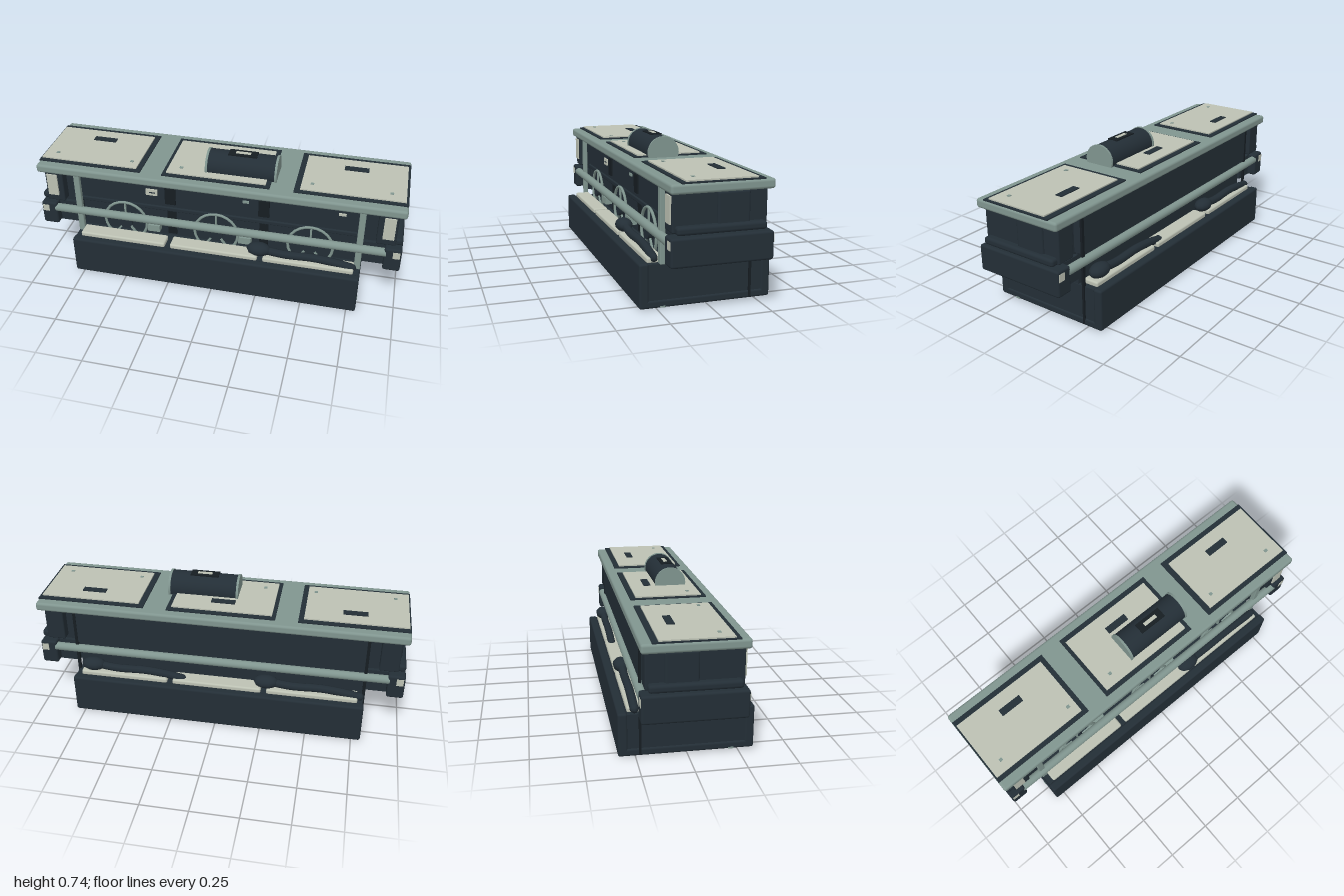
import * as THREE from 'three';
import { RoundedBoxGeometry } from 'three/addons/geometries/RoundedBoxGeometry.js';

export function createModel() {
  const root = new THREE.Group();
  root.name = 'equipmentConsole';
  const mat = (name, color) => {
    const m = new THREE.MeshStandardMaterial({ color });
    m.name = name;
    return m;
  };
  const dark = mat('dark slate', 0x232e36);
  const black = mat('near black', 0x161d22);
  const green = mat('grey green', 0x80958f);
  const cream = mat('pale cream', 0xbcc1b3);

  const add = (name, geo, m, x = 0, y = 0, z = 0) => {
    const mesh = new THREE.Mesh(geo, m);
    mesh.name = name;
    mesh.position.set(x, y, z);
    root.add(mesh);
    return mesh;
  };
  // Boxes are given by their limits; r rounds the edges
  const box = (name, m, [x0, x1], [y0, y1], [z0, z1], r = 0) => {
    const s = [x1 - x0, y1 - y0, z1 - z0];
    const g = r ? new RoundedBoxGeometry(...s, 2, r) : new THREE.BoxGeometry(...s);
    return add(name, g, m, (x0 + x1) / 2, (y0 + y1) / 2, (z0 + z1) / 2);
  };
  const span = (c, w) => [c - w / 2, c + w / 2];
  const rod = (name, m, r, len, x, y, z, axis = 'y', sides = 16) => {
    const g = new THREE.CylinderGeometry(r, r, len, sides);
    if (axis === 'x') g.rotateZ(Math.PI / 2);
    if (axis === 'z') g.rotateX(Math.PI / 2);
    return add(name, g, m, x, y, z);
  };

  // Lower tray with long side walls
  box('trayFloor', dark, [-0.8, 0.8], [0, 0.04], [-0.333, 0.333], 0.012);
  box('trayCore', dark, [-0.794, 0.794], [0.02, 0.215], [-0.3, 0.3]);
  for (const s of [-1, 1]) {
    box('trayWall', dark, [-0.8, 0.8], [0, 0.222], span(s * 0.309, 0.048), 0.012);
  }

  // Central cabinet, with a slightly recessed front
  box('cabinetCore', dark, [-0.79, 0.79], [0.2, 0.4], [-0.19, 0.16]);
  box('cabinetUpper', dark, [-0.8, 0.8], [0.39, 0.585], [-0.23, 0.18]);
  box('frontLedge', dark, [-0.8, 0.8], [0.395, 0.42], [0.17, 0.19], 0.006);
  box('topSlab', green, [-1, 1], [0.582, 0.63], [-0.25, 0.25], 0.014);

  // Round rails and corner posts
  for (const s of [-1, 1]) {
    rod('sideRail', green, 0.023, 1.84, 0, 0.352, s * 0.23, 'x');
    box('frontPost', green, span(s * 0.78, 0.034), [0.21, 0.585], span(0.218, 0.026), 0.005);
    box('postFoot', green, span(s * 0.79, 0.026), [0.003, 0.01], span(0.218, 0.026));
    box('backRod', black, span(s * 0.794, 0.016), [0.01, 0.585], span(-0.226, 0.012));
  }

  // Padded end units
  for (const s of [-1, 1]) {
    const end = (a, b) => (s > 0 ? [a, b] : [-b, -a]);
    box('endNeck', dark, end(0.78, 0.9), [0.25, 0.58], [-0.18, 0.18]);
    box('endBody', dark, end(0.86, 0.962), [0.4, 0.585], [-0.228, 0.232], 0.008);
    box('endPad', dark, end(0.93, 0.975), [0.42, 0.582], [-0.14, 0.02], 0.012);
    box('endCushion', dark, end(0.86, 0.998), [0.396, 0.436], [-0.216, 0.22], 0.015);
    box('endBumper', dark, end(0.91, 1), [0.25, 0.388], [-0.25, 0.25], 0.012);
    box('bumperCore', dark, end(0.8, 0.92), [0.25, 0.38], [-0.2, 0.2]);
    box('endLamp', cream, end(0.89, 0.95), [0.44, 0.57], [0.231, 0.24]);
    for (const z of [-1, 1]) {
      box('bumperMarker', cream, end(0.955, 0.992), [0.332, 0.372], span(z * 0.249, 0.006));
    }
  }

  // Three framed lids on the top
  const lids = [
    { frame: [-0.998, -0.42], plate: [-0.99, -0.448], x: -0.712, dots: [-0.92, -0.49] },
    { frame: [-0.3, 0.286], plate: [-0.28, 0.262], x: -0.005, dots: [-0.21, 0.22] },
    { frame: [0.412, 0.998], plate: [0.443, 0.985], x: 0.715, dots: [0.5, 0.91] },
  ];
  for (const l of lids) {
    box('lidFrame', dark, l.frame, [0.629, 0.636], [-0.2, 0.2]);
    box('lidPlate', cream, l.plate, [0.635, 0.643], [-0.17, 0.176]);
    box('lidHandle', dark, span(l.x, 0.13), [0.642, 0.648], [-0.096, -0.058]);
    for (const x of l.dots) box('lidStud', green, span(x, 0.018), [0.642, 0.646], [0.108, 0.124]);
  }

  // Drum lying on the middle lid
  rod('drum', dark, 0.08, 0.37, 0.118, 0.656, 0.05, 'x', 32);
  for (const x of [-0.07, 0.305]) rod('drumCap', green, 0.084, 0.012, x, 0.656, 0.05, 'x', 32);
  box('drumLabel', black, [0.04, 0.195], [0.733, 0.739], [0.02, 0.08]);
  box('drumTag', cream, [0.078, 0.158], [0.738, 0.742], [0.04, 0.06]);

  // Spoked wheels behind the front rail
  for (const x of [-0.52, 0, 0.52]) {
    const wheel = new THREE.Group();
    wheel.name = 'wheel';
    wheel.position.set(x, 0.3, 0.198);
    const part = (name, g, m) => {
      const p = new THREE.Mesh(g, m);
      p.name = name;
      wheel.add(p);
      return p;
    };
    part('wheelRim', new THREE.TorusGeometry(0.122, 0.008, 6, 24), green);
    part('wheelHub', new THREE.CylinderGeometry(0.04, 0.04, 0.03, 16).rotateX(Math.PI / 2), dark);
    for (let i = 0; i < 5; i++) {
      const a = Math.PI / 2 + (i * Math.PI * 2) / 5;
      const spoke = part('wheelSpoke', new THREE.BoxGeometry(0.085, 0.01, 0.01), green);
      spoke.position.set(Math.cos(a) * 0.08, Math.sin(a) * 0.08, 0);
      spoke.rotation.z = a;
    }
    root.add(wheel);
    rod('wheelAxle', dark, 0.025, 0.06, x, 0.3, 0.175, 'z');
  }

  // Front panel fittings
  for (const x of [-0.26, 0.26]) {
    box('panelStrap', black, span(x, 0.06), [0.44, 0.54], [0.179, 0.188]);
    box('valveBlock', green, span(x - 0.1, 0.07), [0.25, 0.29], [0.16, 0.2]);
    box('lowerStrap', black, span(x, 0.05), [0.23, 0.39], [0.155, 0.168]);
  }
  box('gauge', cream, span(-0.365, 0.065), [0.485, 0.523], [0.179, 0.188]);
  box('gaugeBar', dark, span(-0.36, 0.035), [0.501, 0.507], [0.187, 0.19]);
  box('smallPlate', green, span(0.16, 0.035), [0.513, 0.527], [0.179, 0.187]);
  box('smallPlate', cream, span(0.675, 0.04), [0.513, 0.527], [0.179, 0.187]);

  // Pale mats on both sides, with dark bundles lying on some of them
  const bundle = (x, z, dir) => {
    const head = add('bundleHead', new THREE.SphereGeometry(1, 10, 8), dark, x, 0.272, z);
    head.scale.set(0.068, 0.036, 0.045);
    const curve = new THREE.CatmullRomCurve3([
      [0.03, 0.27], [0.14, 0.258], [0.3, 0.262], [0.42, 0.25], [0.5, 0.235],
    ].map(([d, y]) => new THREE.Vector3(x + dir * d, y, z)));
    add('bundleBody', new THREE.TubeGeometry(curve, 16, 0.022, 8), dark);
    const tip = add('bundleEnd', new THREE.SphereGeometry(0.022, 8, 6), dark, x + dir * 0.5, 0.235, z);
    tip.scale.x = 1.3;
  };
  for (const s of [-1, 1]) {
    for (const x of [-0.52, 0, 0.52]) {
      box('mat', cream, span(x, 0.49), [0.21, 0.24], span(s * 0.243, 0.085), 0.01);
    }
  }
  bundle(0.25, 0.25, 1);
  bundle(-0.27, -0.25, -1);
  bundle(0.7, -0.25, -1);

  return root;
}
